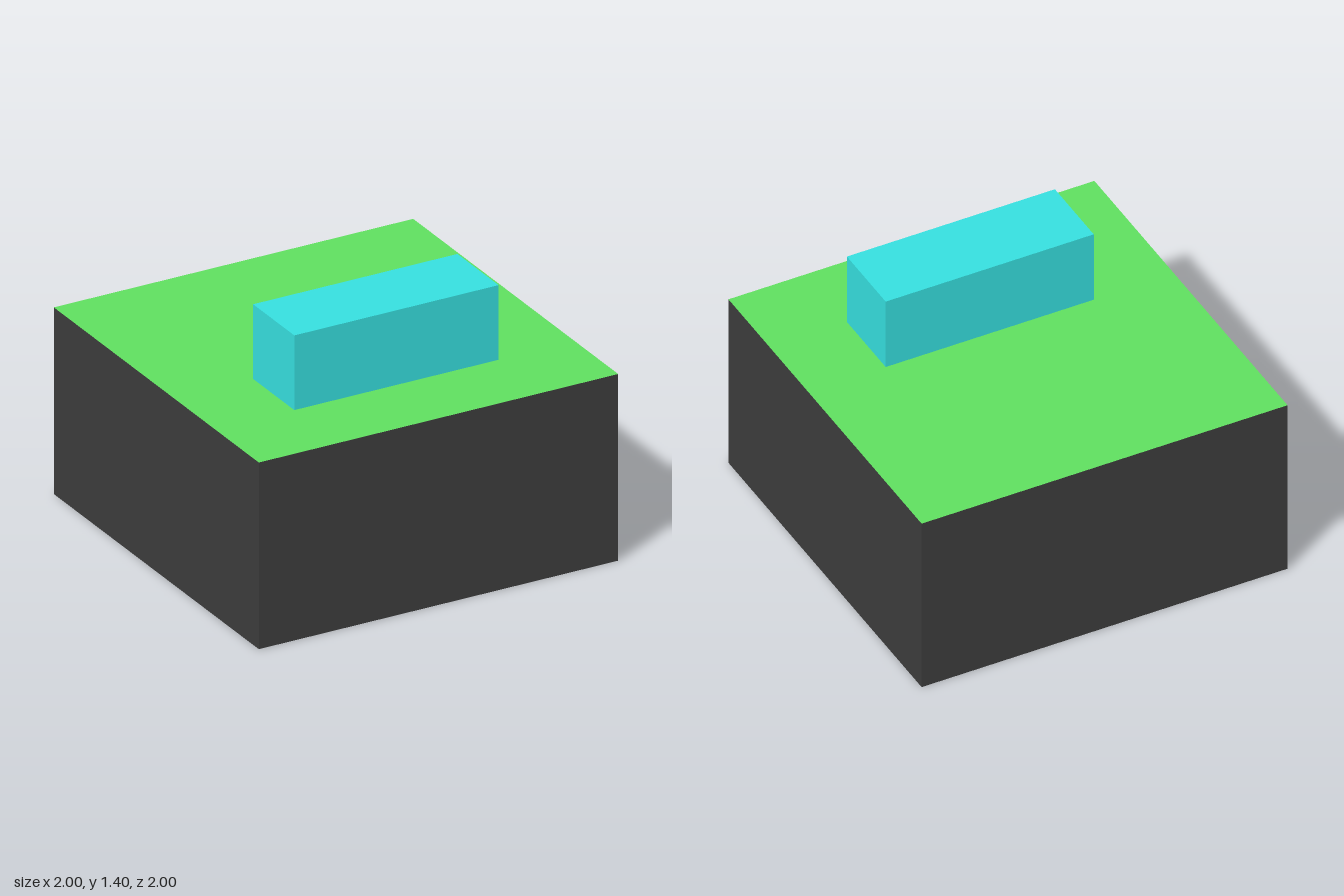
import * as THREE from 'three';

const paint = (color) => new THREE.MeshStandardMaterial({ color });

// Box given by its lower and upper corners
function block(name, min, max, material) {
  const size = max.map((v, i) => v - min[i]);
  const mesh = new THREE.Mesh(new THREE.BoxGeometry(...size), material);
  mesh.position.set(...max.map((v, i) => (v + min[i]) / 2));
  mesh.name = name;
  return mesh;
}

export function createModel() {
  const model = new THREE.Group();
  model.name = 'blockOnBase';

  const dark = paint(0x3d3d3d);
  const green = paint(0x60df60);
  const cyan = paint(0x36dfdf);

  // Dark base with a green top face (order: +x, -x, +y, -y, +z, -z)
  model.add(block('base', [-1, 0, -1], [1, 1, 1], [dark, dark, green, dark, dark, dark]));

  // Long block standing toward the front of the base
  model.add(block('topBlock', [-0.56, 1, 0.173], [0.577, 1.4, 0.575], cyan));

  return model;
}
